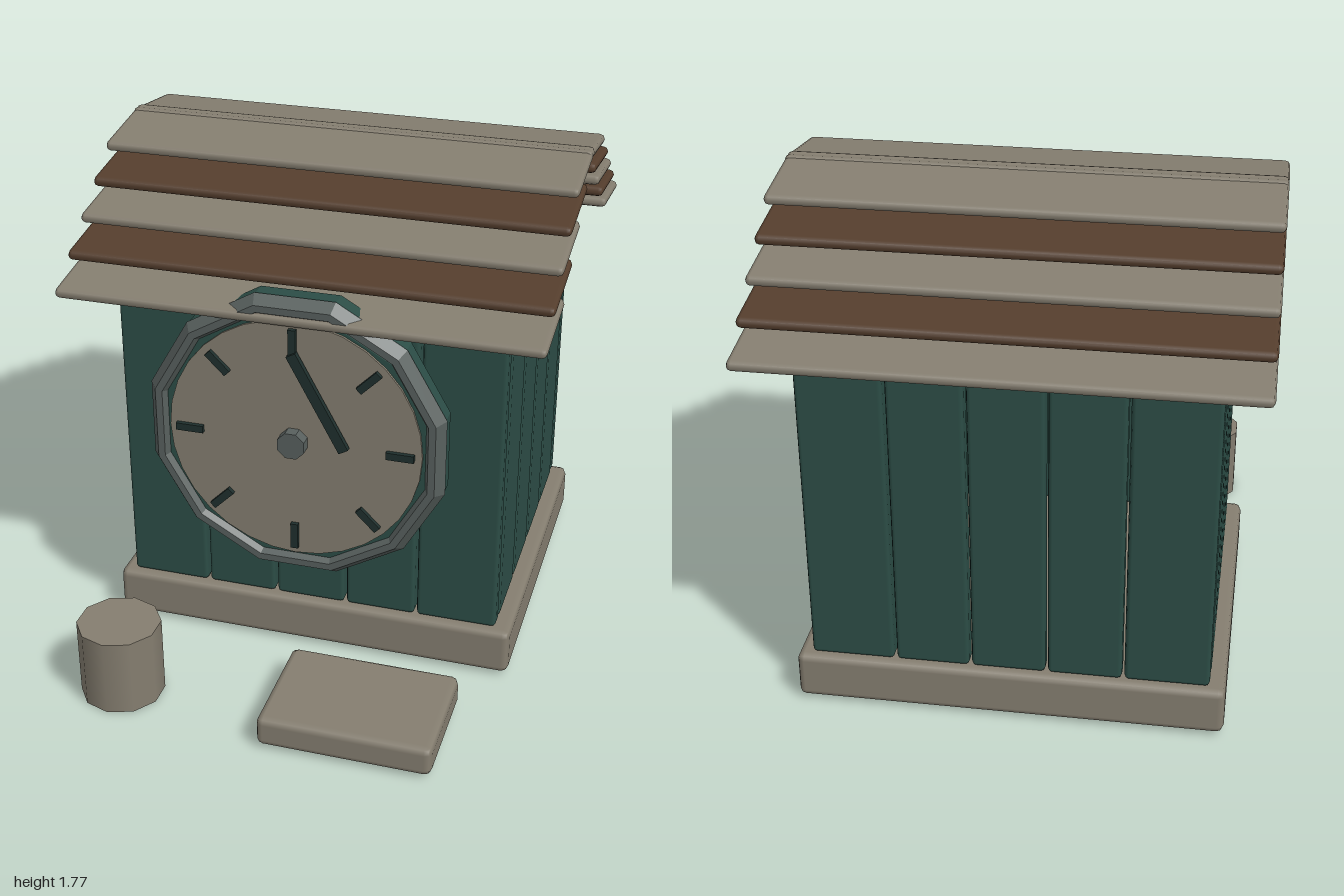
import * as THREE from 'three';
import { RoundedBoxGeometry } from 'three/addons/geometries/RoundedBoxGeometry.js';

const paint = (name, color) => {
  const m = new THREE.MeshStandardMaterial({ color });
  m.name = name;
  return m;
};

export function createModel() {
  const stone = paint('weathered tan', 0x857e70);
  const teal = paint('dark teal', 0x2c4d46);
  const brown = paint('brown wood', 0x553e2d);
  const metal = paint('grey metal', 0x58605e);
  const ink = paint('near black teal', 0x1f2f2d);

  const model = new THREE.Group();
  model.name = 'clockHouse';

  const add = (parent, name, geometry, material, x, y, z) => {
    const mesh = new THREE.Mesh(geometry, material);
    mesh.name = name;
    mesh.position.set(x, y, z);
    parent.add(mesh);
    return mesh;
  };
  const group = (name) => {
    const g = new THREE.Group();
    g.name = name;
    model.add(g);
    return g;
  };
  const block = (w, h, d, r) => new RoundedBoxGeometry(w, h, d, 1, r);
  const facet = (geometry) => {
    const g = geometry.toNonIndexed();
    g.computeVertexNormals();
    return g;
  };

  const midZ = -0.22; // centre line of the house

  // Base slab, doorstep and stump
  add(model, 'base', block(1.46, 0.17, 1.22, 0.025), stone, 0, 0.1, midZ);
  add(model, 'doorstep', block(0.6, 0.11, 0.42, 0.025), stone, 0.3, 0.07, 0.79);
  add(model, 'stump', new THREE.CylinderGeometry(0.146, 0.146, 0.28, 10), stone, -0.55, 0.14, 0.815);

  // Plank walls, open at the top
  const walls = group('walls');
  const wallH = 1.155, wallY = 0.768, thick = 0.065;
  const edges = [-0.68, -0.387, -0.129, 0.129, 0.387, 0.68];
  for (const side of [1, -1]) {
    for (let i = 0; i < 5; i++) {
      const w = edges[i + 1] - edges[i] - 0.008;
      add(walls, 'endPlank', block(w, wallH, thick, 0.015), teal,
        (edges[i] + edges[i + 1]) / 2, wallY, midZ + side * 0.557);
    }
    for (let i = 0; i < 4; i++) {
      add(walls, 'sidePlank', block(thick, wallH, 0.253, 0.015), teal,
        side * 0.645, wallY, midZ + (i - 1.5) * 0.261);
    }
  }

  // Overlapping roof boards, alternating colours, mirrored about the ridge
  const roof = group('roof');
  for (const side of [1, -1]) {
    for (let i = 0; i < 5; i++) {
      const board = add(roof, 'roofBoard', block(1.65, 0.036, 0.326, 0.017), i % 2 ? brown : stone,
        0, 1.383 + i * 0.087, midZ + side * (0.61 - i * 0.121));
      board.rotation.x = side * 0.135;
    }
  }

  // Clock: twelve-sided case and ring, turned to face +z
  const clock = group('clock');
  clock.position.y = 0.925;
  const turned = (profile) => {
    const pts = profile.map(([r, z]) => new THREE.Vector2(r, z));
    return facet(new THREE.LatheGeometry(pts, 12, Math.PI / 12).rotateX(Math.PI / 2));
  };
  add(clock, 'clockCase', turned([[0, 0.41], [0.49, 0.41], [0.524, 0.44], [0.524, 0.5], [0.46, 0.524], [0, 0.524]]), teal, 0, 0, 0);
  add(clock, 'clockRing', turned([[0.465, 0.49], [0.5, 0.485], [0.529, 0.505], [0.5, 0.545], [0.475, 0.545], [0.46, 0.52], [0.465, 0.49]]), metal, 0, 0, 0);
  add(clock, 'clockFace', new THREE.CylinderGeometry(0.438, 0.438, 0.009, 32).rotateX(Math.PI / 2), stone, 0, 0, 0.529);

  // Eight hour marks
  for (let i = 0; i < 8; i++) {
    const a = i * Math.PI / 4;
    const mark = add(clock, 'hourMark', new THREE.BoxGeometry(0.095, 0.026, 0.018), ink,
      Math.cos(a) * 0.365, Math.sin(a) * 0.365, 0.54);
    mark.rotation.z = a;
  }

  // Loose hand and centre hub
  const hand = add(clock, 'clockHand', new THREE.BoxGeometry(0.036, 0.375, 0.02), ink, 0.088, 0.163, 0.55);
  hand.rotation.z = 0.495;
  const hub = new THREE.CylinderGeometry(0.05, 0.05, 0.045, 8, 1, false, Math.PI / 8).rotateX(Math.PI / 2);
  add(clock, 'clockHub', facet(hub), metal, 0, 0, 0.552);

  return model;
}
